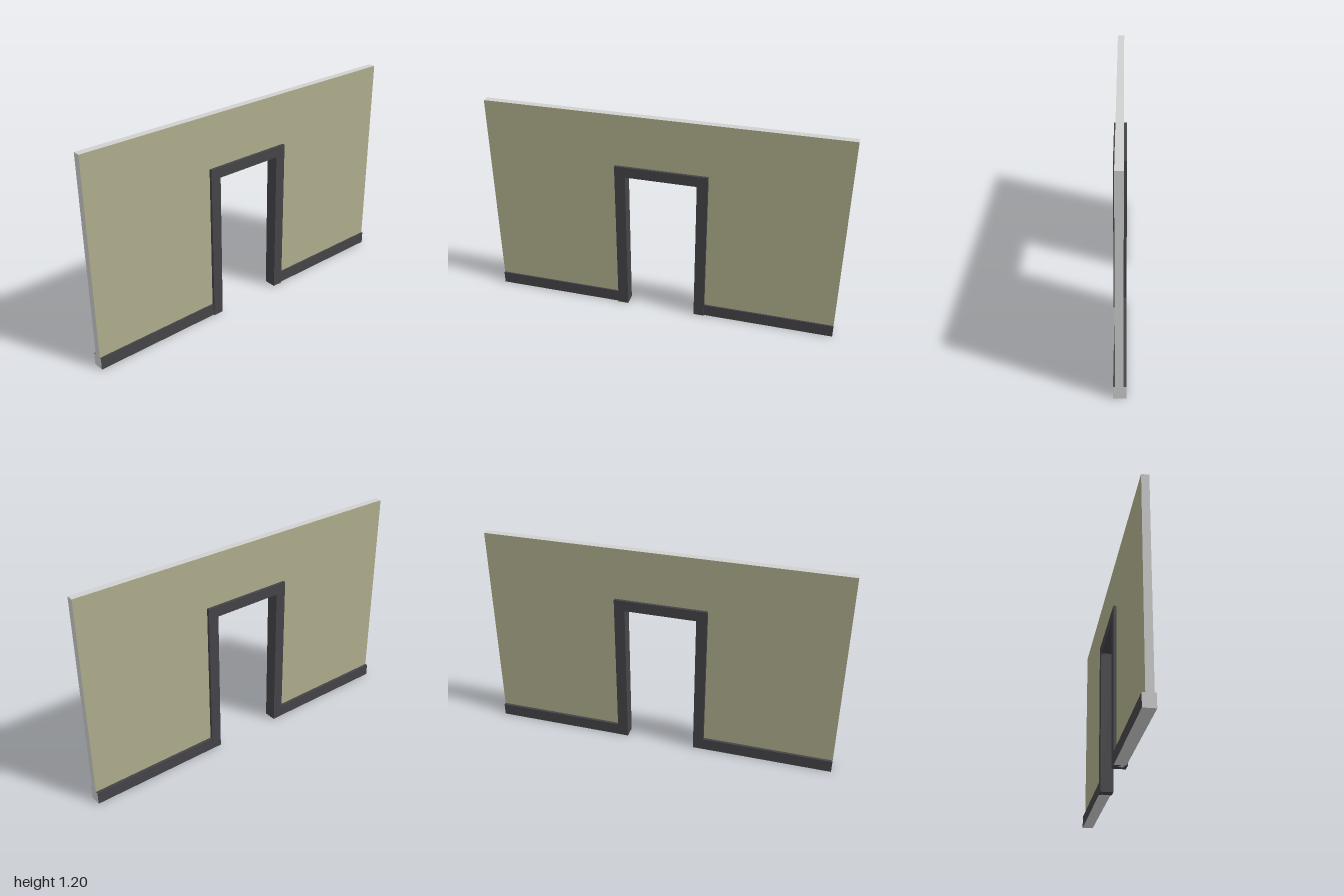
import * as THREE from 'three';

// Upside-down U outline around a doorway: outer half-width and height, inner half-width and height
function archShape(outerX, outerY, innerX, innerY) {
  return new THREE.Shape([
    [-outerX, 0], [-innerX, 0], [-innerX, innerY], [innerX, innerY],
    [innerX, 0], [outerX, 0], [outerX, outerY], [-outerX, outerY],
  ].map(([x, y]) => new THREE.Vector2(x, y)));
}

function extruded(name, shape, depth, materials) {
  const geometry = new THREE.ExtrudeGeometry(shape, { depth, bevelEnabled: false });
  geometry.translate(0, 0, -depth / 2);
  const mesh = new THREE.Mesh(geometry, materials);
  mesh.name = name;
  return mesh;
}

export function createModel() {
  const paint = new THREE.MeshStandardMaterial({ name: 'olive wall paint', color: 0xb0af8d });
  const trim = new THREE.MeshStandardMaterial({ name: 'dark trim', color: 0x454448 });
  const core = new THREE.MeshStandardMaterial({ name: 'light grey core', color: 0xd0d0d0 });

  const model = new THREE.Group();
  model.name = 'doorwayWall';

  // Painted faces with bare grey edges; the opening edge hides inside the frame
  model.add(extruded('wall', archShape(1, 1.2, 0.23, 0.875), 0.04, [paint, core]));
  model.add(extruded('doorFrame', archShape(0.26, 0.905, 0.2, 0.845), 0.072, trim));

  // Skirting strips: dark faces and tops, bare ends and undersides
  const skirtingMaterials = [core, core, trim, core, trim, trim];
  const strips = [
    { name: 'frontSkirting', near: 0.02, far: 0.029, face: 1 },
    { name: 'backSkirting', near: 0.02, far: 0.0355, face: -1 },
  ];
  for (const { name, near, far, face } of strips) {
    for (const side of [-1, 1]) {
      const strip = new THREE.Mesh(new THREE.BoxGeometry(0.74, 0.07, far - near), skirtingMaterials);
      strip.position.set(side * 0.63, 0.035, face * (near + far) / 2);
      strip.name = name + (side > 0 ? 'Left' : 'Right');
      model.add(strip);
    }
  }
  return model;
}
